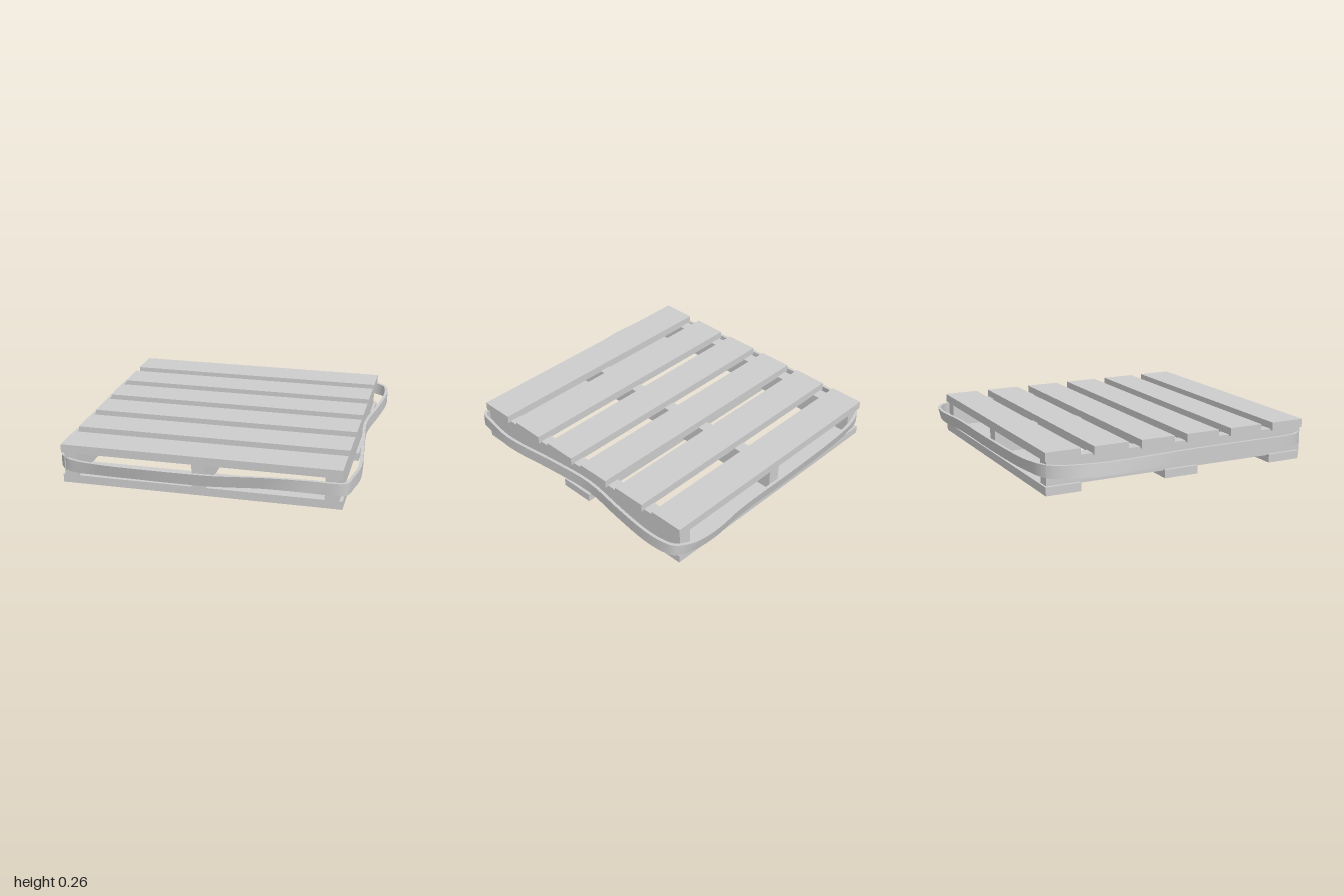
import * as THREE from 'three';

const material = new THREE.MeshStandardMaterial({ color: 0xcccccc });

function box(name, w, h, d, x, y, z) {
  const mesh = new THREE.Mesh(new THREE.BoxGeometry(w, h, d), material);
  mesh.name = name;
  mesh.position.set(x, y, z);
  return mesh;
}

// Strap stations round the pallet: x, z, mid height, outward lean of the top edge
const strapPath = [
  [-0.86, -0.885, 0.145, 0], [-0.72, -0.93, 0.147, 0.01], [-0.5, -0.95, 0.147, 0.01],
  [0, -0.957, 0.145, 0.01], [0.25, -0.955, 0.145, 0.01], [0.45, -0.96, 0.145, 0.01],
  [0.64, -0.978, 0.145, 0.01], [0.81, -0.965, 0.145, 0.01], [0.92, -0.91, 0.143, 0],
  [0.947, -0.84, 0.143, 0], [0.955, -0.7, 0.143, 0], [0.93, -0.45, 0.145, 0],
  [0.887, -0.13, 0.145, 0], [0.91, 0.2, 0.145, 0], [0.94, 0.6, 0.132, 0],
  [0.92, 0.8, 0.145, 0], [0.898, 0.895, 0.145, 0], [0.85, 0.915, 0.145, 0],
  [0.7, 0.912, 0.145, 0], [0.4, 0.928, 0.147, 0.01], [0.1, 0.948, 0.137, 0.01],
  [-0.1, 0.958, 0.139, 0.01], [-0.4, 0.973, 0.147, 0.012], [-0.6, 0.965, 0.146, 0.01],
  [-0.8, 0.92, 0.138, 0], [-0.88, 0.85, 0.135, 0], [-0.915, 0.75, 0.138, 0],
  [-0.937, 0.5, 0.145, 0], [-0.943, 0, 0.145, 0], [-0.958, -0.5, 0.14, -0.006],
  [-0.945, -0.68, 0.142, -0.006], [-0.91, -0.82, 0.145, 0],
];

// Closed band with a thin rectangular section, smooth along its length
function strapGeometry(steps = 128, height = 0.078, thick = 0.02) {
  const curve = new THREE.CatmullRomCurve3(
    strapPath.map(([x, z, y]) => new THREE.Vector3(x, y, z)), true, 'centripetal');
  const up = new THREE.Vector3(0, 1, 0);
  const rings = [];
  for (let i = 0; i <= steps; i++) {
    const t = (i % steps) / steps;
    const p = curve.getPoint(t);
    const out = curve.getTangent(t).cross(up).negate().normalize();
    if (out.x * p.x + out.z * p.z < 0) out.negate();
    const f = t * strapPath.length, k = Math.floor(f);
    const lean = THREE.MathUtils.lerp(strapPath[k][3], strapPath[(k + 1) % strapPath.length][3], f - k);
    // Corners: outer bottom, outer top, inner top, inner bottom
    rings.push([[1, -1], [1, 1], [-1, 1], [-1, -1]].map(([a, b]) =>
      p.clone().addScaledVector(out, a * thick / 2 + b * lean).addScaledVector(up, b * height / 2)));
  }
  const position = [], index = [];
  for (let side = 0; side < 4; side++) {
    const base = position.length / 3;
    rings.forEach((r) => position.push(...r[side].toArray(), ...r[(side + 1) % 4].toArray()));
    for (let i = 0; i < steps; i++) {
      const a = base + i * 2;
      index.push(a, a + 1, a + 2, a + 1, a + 3, a + 2);
    }
  }
  const geometry = new THREE.BufferGeometry();
  geometry.setAttribute('position', new THREE.Float32BufferAttribute(position, 3));
  geometry.setIndex(index);
  geometry.computeVertexNormals();
  return geometry;
}

export function createModel() {
  const pallet = new THREE.Group();
  pallet.name = 'pallet';

  // Six deck boards on top
  for (let i = 0; i < 6; i++) {
    pallet.add(box('deckBoard', 1.755, 0.053, 0.228, 0, 0.234, (i - 2.5) * 0.3145));
  }
  // Three stringers, let slightly into the boards
  for (const x of [-0.815, 0, 0.815]) {
    pallet.add(box('stringer', 0.084, 0.17, 1.785, x, 0.13, 0.006));
  }
  // Three boards underneath
  for (const z of [-0.785, 0.005, 0.765]) {
    pallet.add(box('bottomBoard', 1.755, 0.053, 0.228, 0, 0.0265, z));
  }
  // Loose strap wrapped round the sides
  const strapMaterial = material.clone();
  strapMaterial.side = THREE.DoubleSide;
  const strap = new THREE.Mesh(strapGeometry(), strapMaterial);
  strap.name = 'strap';
  pallet.add(strap);

  return pallet;
}
